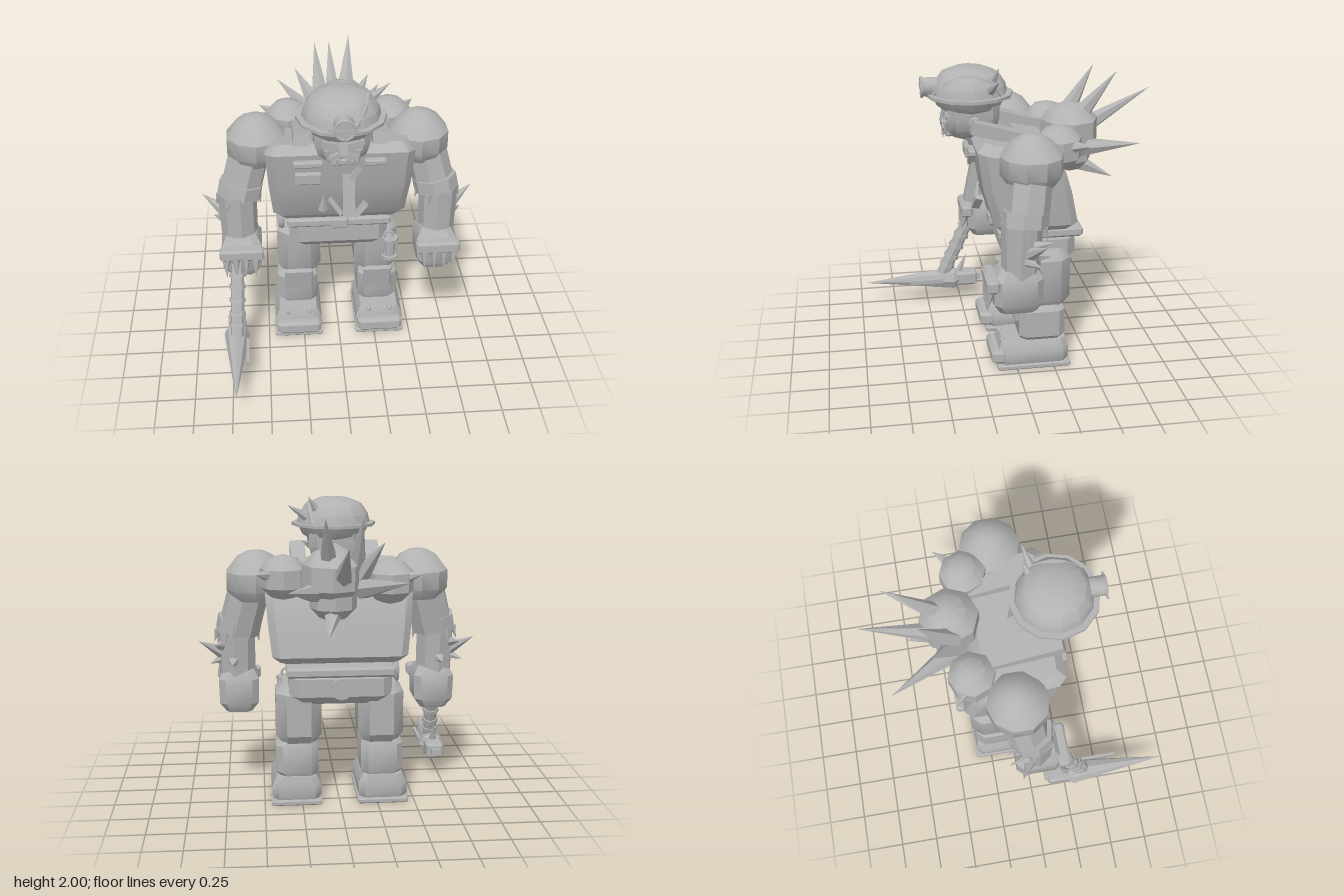
import * as THREE from 'three';
import { toCreasedNormals } from 'three/addons/utils/BufferGeometryUtils.js';

const stone = new THREE.MeshStandardMaterial({ color: 0xb2b2b2 });
stone.name = 'stone grey';
const V = (p) => new THREE.Vector3(...p);

export function createModel() {
  const model = new THREE.Group();
  model.name = 'armouredMiner';

  function add(name, geo, pos = [0, 0, 0], rot = [0, 0, 0]) {
    const mesh = new THREE.Mesh(toCreasedNormals(geo, 0.6), stone);
    mesh.name = name;
    mesh.position.set(...pos);
    mesh.rotation.set(...rot);
    model.add(mesh);
    return mesh;
  }
  const box = (name, size, pos, rot) => add(name, new THREE.BoxGeometry(...size), pos, rot);

  // Tapered rod between two points; a zero end radius makes a spike
  function rod(name, a, b, r0, r1, sides = 8) {
    const d = V(b).sub(V(a));
    const mesh = add(name, new THREE.CylinderGeometry(r1, r0, d.length(), sides));
    mesh.position.copy(V(a)).addScaledVector(d, 0.5);
    mesh.quaternion.setFromUnitVectors(new THREE.Vector3(0, 1, 0), d.normalize());
  }
  const spike = (name, a, b, r, sides = 6) => rod(name, a, b, r, 0, sides);

  // Stack of chamfered rectangles, bottom to top: [y, cx, cz, halfX, halfZ, chamfer, slope]
  function loft(name, sections) {
    const pos = [], idx = [];
    for (const [y, cx, cz, hx, hz, c, slope = 0] of sections) {
      const ring = [[hx, hz - c], [hx, c - hz], [hx - c, -hz], [c - hx, -hz],
        [-hx, c - hz], [-hx, hz - c], [c - hx, hz], [hx - c, hz]];
      for (const [x, z] of ring) pos.push(cx + x, y + slope * z, cz + z);
    }
    const last = (sections.length - 1) * 8;
    for (let k = 0; k < last; k += 8) {
      for (let i = 0; i < 8; i++) {
        const a = k + i, b = k + (i + 1) % 8;
        idx.push(a, b, b + 8, a, b + 8, a + 8);
      }
    }
    for (let i = 1; i < 7; i++) idx.push(0, i + 1, i, last, last + i, last + i + 1);
    const geo = new THREE.BufferGeometry();
    geo.setAttribute('position', new THREE.Float32BufferAttribute(pos, 3));
    geo.setIndex(idx);
    return add(name, geo);
  }
  // Block with bevelled top and bottom
  const block = (name, [x, y, z], [hx, hy, hz], b) => loft(name, [
    [y - hy, x, z, hx - b, hz - b, b * 0.7], [y - hy + b, x, z, hx, hz, b],
    [y + hy - b, x, z, hx, hz, b], [y + hy, x, z, hx - b, hz - b, b * 0.7]]);
  const lathe = (name, pts, sides, pos, rot) =>
    add(name, new THREE.LatheGeometry(pts.map((p) => new THREE.Vector2(...p)), sides), pos, rot);

  // Torso, leaning forward, with a top that falls away to the back
  loft('torso', [
    [0.975, 0, -0.13, 0.39, 0.23, 0.04], [1.02, 0, -0.13, 0.44, 0.27, 0.05],
    [1.25, 0, -0.07, 0.465, 0.285, 0.05, 0.08],
    [1.475, 0, -0.02, 0.48, 0.275, 0.05, 0.2], [1.54, 0, -0.02, 0.43, 0.22, 0.04, 0.2]]);
  block('pelvis', [0, 0.82, -0.17], [0.335, 0.12, 0.24], 0.06);
  block('belt', [0, 0.93, -0.17], [0.35, 0.033, 0.28], 0.015);
  block('beltBuckle', [0, 0.935, 0.11], [0.06, 0.04, 0.025], 0.012);
  rod('backDisc', [0, 0.82, -0.40], [0, 0.82, -0.45], 0.07, 0.07, 12);
  add('beltCoil', new THREE.TorusGeometry(0.075, 0.022, 6, 14), [-0.385, 0.87, -0.12], [0, Math.PI / 2, 0]);

  // Lantern hanging from the belt
  rod('lanternBody', [0.35, 0.63, 0.08], [0.35, 0.76, 0.08], 0.035, 0.035, 8);
  for (const y of [0.62, 0.76]) rod('lanternPlate', [0.35, y, 0.08], [0.35, y + 0.02, 0.08], 0.058, 0.058, 8);
  for (const x of [0.305, 0.395]) rod('lanternBar', [x, 0.63, 0.08], [x, 0.77, 0.08], 0.007, 0.007, 5);
  add('lanternHook', new THREE.TorusGeometry(0.03, 0.009, 5, 10), [0.34, 0.8, 0.08]);

  // Chest plates and shards
  for (const [x, y, w, h, z] of [[-0.21, 1.475, 0.19, 0.04, 0.26], [0.22, 1.48, 0.14, 0.04, 0.26],
    [-0.21, 1.36, 0.17, 0.08, 0.235]]) block('chestPlate', [x, y, z], [w / 2, h / 2, 0.03], 0.008);
  box('chestSlab', [0.08, 0.29, 0.06], [0.05, 1.23, 0.245], [-0.2, 0, 0]);
  box('chestShard', [0.03, 0.09, 0.05], [0.09, 1.39, 0.25], [0, 0, -0.6]);
  box('chestShard', [0.03, 0.13, 0.05], [-0.03, 1.13, 0.22], [-0.2, 0, 0.6]);
  box('chestShard', [0.035, 0.12, 0.05], [0.13, 1.1, 0.22], [-0.2, 0, -0.7]);
  spike('chestFang', [-0.115, 1.1, 0.2], [-0.11, 1.23, 0.23], 0.035, 5);

  for (const s of [-1, 1]) {
    const P = (x, y, z) => [s * x, y, z];
    // Shoulder strap
    box('shoulderStrap', [0.1, 0.08, 0.55], P(0.25, 1.575, 0), [-0.27, 0, 0]);

    // Legs and boots
    const x = s * 0.27;
    loft('thigh', [
      [0.42, x, -0.19, 0.11, 0.13, 0.04], [0.48, x, -0.195, 0.15, 0.17, 0.07],
      [0.76, x, -0.195, 0.15, 0.17, 0.07], [0.82, x, -0.195, 0.1, 0.12, 0.05]]);
    loft('shin', [
      [0.17, x, -0.175, 0.11, 0.13, 0.04], [0.22, x + s * 0.013, -0.175, 0.14, 0.155, 0.045],
      [0.4, x + s * 0.013, -0.175, 0.14, 0.155, 0.045], [0.45, x, -0.18, 0.11, 0.12, 0.04]]);
    const knee = block('kneePlate', [0, 0, 0], [0.098, 0.09, 0.02], 0.012);
    knee.position.set(s * 0.277, 0.405, 0);
    knee.rotation.x = 0.16;
    block('sole', [s * 0.287, 0.018, -0.115], [0.168, 0.018, 0.247], 0.008);
    loft('boot', [
      [0.03, s * 0.287, -0.115, 0.15, 0.225, 0.04], [0.06, s * 0.287, -0.115, 0.163, 0.235, 0.04],
      [0.13, s * 0.287, -0.115, 0.163, 0.235, 0.04], [0.192, s * 0.287, -0.12, 0.13, 0.215, 0.04]]);
    block('toeCap', [s * 0.287, 0.09, 0.11], [0.155, 0.048, 0.06], 0.02);
    for (const d of [-0.075, 0.075]) {
      add('bootStud', new THREE.SphereGeometry(0.02, 8, 6), [s * 0.287 + d, 0.185, 0.09]);
    }

    // Arm
    lathe('shoulderPad', [[0, 1.35], [0.15, 1.35], [0.2, 1.42], [0.2, 1.535], [0.125, 1.63], [0.06, 1.665], [0, 1.675]],
      10, P(0.535, 0, -0.067));
    rod('upperArm', P(0.58, 1.42, -0.055), P(0.655, 1.13, -0.015), 0.138, 0.138);
    rod('elbowCuff', P(0.645, 1.21, -0.01), P(0.663, 1.12, 0), 0.15, 0.15, 8);
    rod('forearm', P(0.675, 1.15, 0.015), P(0.67, 0.8, 0.025), 0.13, 0.122, 8);
    for (let i = 0; i < 6; i++) {
      const a = i * Math.PI / 3, c = Math.cos(a), n = Math.sin(a);
      spike('cuffFang', P(0.665 + 0.13 * c, 1.13, 0.13 * n), P(0.67 + 0.15 * c, 1.04, 0.15 * n), 0.022, 5);
    }
    spike('forearmSpike', P(0.77, 0.98, -0.02), P(0.92, 1.075, -0.1), 0.045);
    spike('forearmSpike', P(0.77, 0.93, 0), P(0.85, 0.915, -0.08), 0.035);
    spike('forearmSpike', P(0.77, 1.03, -0.05), P(0.81, 1.06, -0.17), 0.035);
    spike('forearmSpike', P(0.69, 0.93, -0.08), P(0.7, 0.92, -0.17), 0.04);

    // Fist with fanged knuckle bar
    loft('fist', [
      [0.57, s * 0.66, 0.045, 0.085, 0.115, 0.03], [0.635, s * 0.66, 0.045, 0.13, 0.155, 0.045],
      [0.8, s * 0.66, 0.045, 0.135, 0.155, 0.045], [0.86, s * 0.66, 0.04, 0.1, 0.115, 0.04]]);
    block('knuckleBar', [s * 0.66, 0.778, 0.21], [0.148, 0.042, 0.04], 0.015);
    for (let i = 0; i < 4; i++) {
      const fx = 0.57 + i * 0.065;
      spike('knuckleFang', P(fx, 0.76, 0.22), P(fx, 0.615, 0.25), 0.034, 5);
    }
  }

  // Pickaxe: handle with grip rings, then the head
  const top = [-0.69, 0.8, 0.12], low = [-0.715, 0.2, 0.39];
  const along = (t) => V(top).lerp(V(low), t).toArray();
  rod('pickHandle', top, low, 0.045, 0.048);
  for (const t of [0.3, 0.42, 0.56, 0.7, 0.82]) rod('gripRing', along(t), along(t + 0.04), 0.055, 0.058);
  spike('pickPoint', [-0.72, 0.175, 0.3], [-0.72, 0.175, 0.965], 0.088, 8);
  rod('pickCollar', [-0.72, 0.175, 0.3], [-0.72, 0.18, 0.25], 0.088, 0.05);
  block('pickHammer', [-0.72, 0.18, 0.21], [0.06, 0.052, 0.085], 0.015);
  box('pickHammerCap', [0.06, 0.04, 0.03], [-0.72, 0.18, 0.115]);
  spike('pickFin', [-0.72, 0.2, 0.27], [-0.72, 0.37, 0.2], 0.035, 5);
  box('pickSidePlate', [0.02, 0.03, 0.25], [-0.645, 0.185, 0.51]);

  // Head and helmet
  loft('head', [
    [1.53, 0, 0.25, 0.1, 0.11, 0.04], [1.585, 0, 0.245, 0.15, 0.16, 0.05],
    [1.67, 0, 0.24, 0.175, 0.17, 0.05], [1.8, 0, 0.24, 0.17, 0.17, 0.05]]);
  rod('neck', [0, 1.48, 0.05], [0, 1.66, 0.2], 0.12, 0.12);
  lathe('helmet', [[0, 1.7], [0.16, 1.7], [0.21, 1.73], [0.25, 1.805], [0.237, 1.87], [0.19, 1.94], [0.1, 1.977], [0, 1.985]],
    12, [0, 0, 0.25]);
  lathe('helmetBrim', [[0.22, 1.795], [0.285, 1.795], [0.285, 1.815], [0.22, 1.815]], 12, [0, 0, 0.25]);
  const strap = new THREE.CatmullRomCurve3([[0.06, 1.82, 0.485], [0.12, 1.89, 0.415], [0.16, 1.94, 0.3],
    [0.17, 1.91, 0.15], [0.15, 1.82, 0.06]].map(V));
  add('helmetStrap', new THREE.TubeGeometry(strap, 16, 0.018, 5));
  spike('helmetSpike', [0.12, 1.9, 0.12], [0.18, 2.0, 0.08], 0.035);
  spike('helmetSpike', [0.19, 1.86, 0.14], [0.32, 1.945, 0.1], 0.035);
  rod('lampBody', [0, 1.855, 0.46], [0, 1.855, 0.56], 0.063, 0.063, 12);
  add('lampRim', new THREE.TorusGeometry(0.062, 0.009, 6, 16), [0, 1.855, 0.558]);
  box('lampBar', [0.18, 0.014, 0.014], [0, 1.855, 0.56]);
  box('lampBar', [0.014, 0.13, 0.014], [0, 1.855, 0.56]);

  // Face
  box('nose', [0.05, 0.09, 0.05], [0, 1.665, 0.41], [-0.25, 0, 0]);
  block('jaw', [0, 1.56, 0.385], [0.075, 0.022, 0.03], 0.01);
  for (const s of [-1, 1]) {
    box('brow', [0.11, 0.03, 0.05], [s * 0.08, 1.69, 0.4], [0, 0, s * 0.25]);
    box('moustache', [0.08, 0.03, 0.04], [s * 0.05, 1.61, 0.415], [0, 0, -s * 0.5]);
    spike('tusk', [s * 0.1, 1.65, 0.41], [s * 0.09, 1.54, 0.42], 0.025, 5);
    spike('tooth', [s * 0.035, 1.59, 0.42], [s * 0.035, 1.52, 0.43], 0.015, 5);
    spike('cheekSpike', [s * 0.16, 1.66, 0.25], [s * 0.22, 1.69, 0.21], 0.035, 5);
  }

  // Crystal growths on the back
  for (const [r, p] of [[0.19, [0.06, 1.55, -0.4]], [0.15, [0.05, 1.41, -0.4]],
    [0.15, [-0.32, 1.5, -0.32]], [0.15, [0.36, 1.525, -0.27]]]) {
    const h = r * 0.4, q = r * 0.82;
    lathe('crystalRoot', [[0, -r], [r * 0.6, -q], [r, -h], [r, h], [r * 0.6, q], [0, r]], 8, p);
  }
  for (const [base, tip] of [
    [[0, 1.52, -0.46], [0, 1.8, -0.96]], [[-0.13, 1.47, -0.42], [-0.38, 1.575, -0.82]],
    [[0.15, 1.45, -0.44], [0.35, 1.52, -0.81]], [[-0.09, 1.6, -0.4], [-0.12, 1.94, -0.6]],
    [[0.08, 1.62, -0.44], [0.12, 1.945, -0.7]], [[0.05, 1.34, -0.42], [0.1, 1.215, -0.7]],
    [[-0.12, 1.56, -0.4], [-0.26, 1.78, -0.54]]]) spike('crystalSpike', base, tip, 0.07);
  spike('smallCrystalSpike', [-0.41, 1.53, -0.37], [-0.51, 1.56, -0.44], 0.045);
  spike('smallCrystalSpike', [0.45, 1.55, -0.34], [0.54, 1.57, -0.44], 0.045);
  return model;
}
